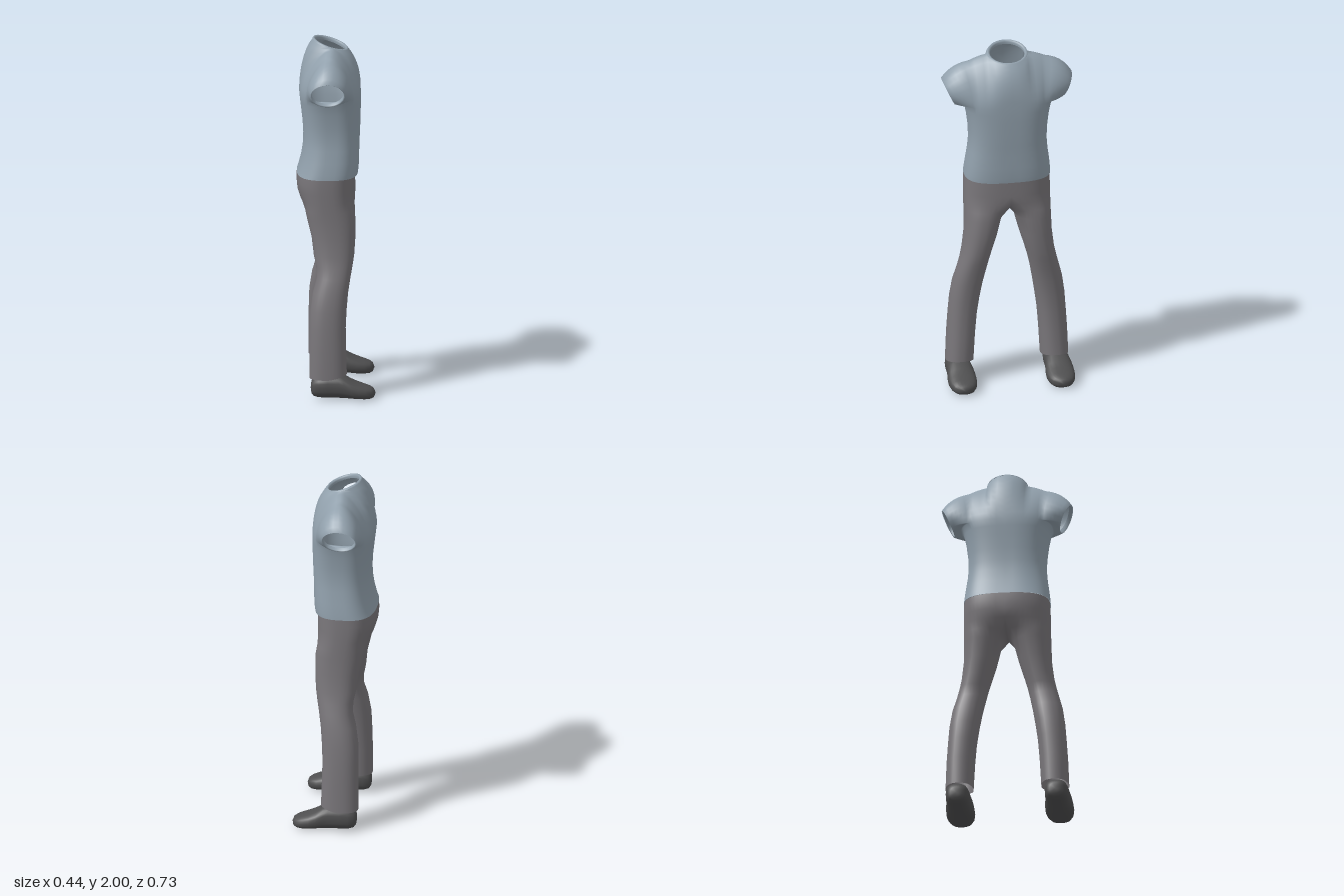
import * as THREE from 'three';
import { mergeVertices } from 'three/addons/utils/BufferGeometryUtils.js';

const V = (x, y, z) => new THREE.Vector3(x, y, z);
const rad = THREE.MathUtils.degToRad, lerp = THREE.MathUtils.lerp;
const range = (n, f) => Array.from({ length: n + 1 }, (_, i) => f(i / n, i));
const sp = (v, p) => Math.sign(v) * Math.pow(Math.abs(v), 2 / p);

// Triangles between successive rows of points
function grid(out, rows) {
  for (let i = 0; i < rows.length - 1; i++)
    for (let j = 0; j < rows[i].length - 1; j++) {
      const a = rows[i][j], b = rows[i + 1][j], c = rows[i + 1][j + 1], d = rows[i][j + 1];
      for (const t of [[a, b, d], [b, c, d]])
        if (t[0].distanceTo(t[1]) > 1e-5 && t[1].distanceTo(t[2]) > 1e-5 && t[2].distanceTo(t[0]) > 1e-5) out.push(...t);
    }
}

// Smooth mesh from the left half plus its mirror image
function mirrored(name, half, material) {
  const pts = [...half];
  for (let i = 0; i < half.length; i += 3)
    for (const k of [0, 2, 1]) pts.push(V(half[i + k].x, half[i + k].y, -half[i + k].z));
  let g = new THREE.BufferGeometry().setFromPoints(pts);
  g = mergeVertices(g, 1e-4);
  g.computeVertexNormals();
  const mesh = new THREE.Mesh(g, material);
  mesh.name = name;
  return mesh;
}

// Half a body section, from front centre round the left side to back centre
const halfRing = ([y, back, front, hz], n, p) => range(n, (t, i) => {
  const a = t * Math.PI;
  return V((back + front) / 2 + (front - back) / 2 * sp(Math.cos(a), p), y,
    i === 0 || i === n ? 0 : hz * sp(Math.sin(a), p));
});

const neck = (a, s = 1, dy = 0) =>
  V(-0.03 + 0.1 * s * Math.cos(a), 1.967 - 0.03 * Math.cos(a) + dy, 0.115 * s * Math.sin(a));

function shirtHalf() {
  const out = [], N = 32, F = 8, C = 4, K = 8;
  // torso, hem to armpit
  const torso = [
    [1.24, -0.217, 0.122, 0.24], [1.27, -0.207, 0.126, 0.238], [1.33, -0.192, 0.129, 0.231],
    [1.4, -0.182, 0.13, 0.221], [1.46, -0.181, 0.133, 0.216], [1.53, -0.185, 0.136, 0.218],
    [1.61, -0.194, 0.138, 0.228], [1.66, -0.2, 0.139, 0.238], [1.7, -0.204, 0.138, 0.25],
  ].map(r => halfRing(r, N, 2.8));
  grid(out, torso);
  const ring = torso[torso.length - 1];

  // chest and upper back, ending at the neckline and the shoulder seam
  const column = (i, side) => {
    const base = side > 0 ? ring[i] : ring[N - i];
    const a = Math.min(i / C, 1) * Math.PI / 2;
    let top = neck(side > 0 ? a : Math.PI - a);
    if (i > C) {
      const d = 0.1 * (i - C) / (F - C);
      top = V(-0.03 - d * 0.08, 1.967 - 0.25 * d - 1.3 * d * d, 0.115 + d);
    }
    const rise = i > C ? 0 : Math.cos(a);
    const c1 = base.clone().add(V(0, 0.1, 0));
    const c2 = top.clone().add(V(side * 0.055, -0.07 * rise, 0));
    return new THREE.CubicBezierCurve3(base, c1, c2, top).getPoints(K);
  };
  const front = range(F, (t, i) => column(i, 1)), back = range(F, (t, i) => column(F - i, -1));
  for (const panel of [front, back])
    grid(out, range(K, (t, k) => panel.map(col => col[k])));

  // sleeve, from the armhole to the turned-in hem
  const start = [...front[F], ...[...back[0]].reverse().slice(1),
    ...ring.slice(F, N - F).reverse()];
  const angles = [...range(K, t => -40 + 130 * t), ...range(K, t => 90 + 130 * t).slice(1),
    ...range(N - 2 * F, t => 220 + 100 * t).slice(1)].map(rad);
  const hem = (s, dy, dz) => angles.map(a => {
    const v = s * Math.sin(a);
    return V(-0.05 + 0.097 * s * Math.cos(a), 1.75 + 0.072 * v + dy, 0.33 + 0.035 * v + dz);
  });
  const end = hem(1, 0, 0);
  const rows = range(6, t => start.map((p, j) => {
    const q = p.clone().lerp(end[j], t), b = 0.05 * t * (1 - t), s = Math.sin(angles[j]);
    return q.add(V(b * Math.cos(angles[j]), s > 0 ? b * s * 1.3 : 0, s > 0 ? b * s : 0));
  }));
  rows.push(hem(0.94, 0.002, -0.004), hem(0.93, 0.012, -0.02));
  grid(out, rows.reverse());
  return out;
}

function collarHalf() {
  const out = [];
  grid(out, [[1, 0], [0.95, 0.007], [0.87, 0.004], [0.84, -0.004], [0.85, -0.016]]
    .map(([s, dy]) => range(16, (t) => neck(t * Math.PI, s, dy))));
  return out;
}

function trouserHalf() {
  const out = [], N = 24, M = 10;
  // hips
  const hips = [[1.24, -0.217, 0.106, 0.238], [1.2, -0.219, 0.107, 0.24], [1.15, -0.214, 0.108, 0.241],
    [1.1, -0.198, 0.107, 0.241]].map(r => halfRing(r, N, 2.6));
  grid(out, [...hips].reverse());
  const low = hips[hips.length - 1];
  // crotch saddle closes the top section of the leg
  const saddle = range(M, t => V(lerp(-0.198, 0.107, t),
    1.045 + 0.055 * Math.pow(Math.abs(2 * t - 1), 3), 0));
  const start = [...low, ...saddle.slice(1)];
  // leg sections: y, back, front, inner, outer
  const legs = [
    [1.0, -0.162, 0.107, 0.036, 0.242], [0.9, -0.137, 0.107, 0.062, 0.245],
    [0.8, -0.125, 0.1, 0.093, 0.257], [0.74, -0.112, 0.09, 0.11, 0.27],
    [0.68, -0.108, 0.079, 0.124, 0.286], [0.6, -0.13, 0.066, 0.14, 0.307],
    [0.5, -0.145, 0.057, 0.157, 0.322], [0.4, -0.148, 0.052, 0.171, 0.33],
    [0.28, -0.15, 0.054, 0.181, 0.338], [0.12, -0.15, 0.058, 0.19, 0.344],
  ];
  const angles = [...range(N, t => -50 + 280 * t), ...range(M, t => 230 + 80 * t).slice(1)].map(rad);
  const rings = legs.map(([y, b, f, zi, zo]) => angles.map(a => V(
    (b + f) / 2 + (f - b) / 2 * sp(Math.cos(a), 2.3),
    y + (y < 0.2 ? 0.022 * Math.max(0, Math.cos(a)) : 0),
    (zi + zo) / 2 + (zo - zi) / 2 * sp(Math.sin(a), 2.3))));
  const middle = start.map((p, j) => p.clone().lerp(rings[0][j], 0.5));
  grid(out, [start, middle, ...rings].reverse());
  return out;
}

function shoeHalf() {
  const out = [];
  // sections: x, half width, bottom, top
  const sections = [
    [-0.143, 0, 0.065, 0.065], [-0.139, 0.034, 0.035, 0.1], [-0.128, 0.05, 0.02, 0.12],
    [-0.1, 0.063, 0.012, 0.137], [-0.05, 0.067, 0.01, 0.145], [0.01, 0.07, 0.009, 0.146],
    [0.04, 0.074, 0.008, 0.138], [0.08, 0.079, 0.006, 0.113], [0.12, 0.08, 0.003, 0.094],
    [0.16, 0.073, 0.002, 0.08], [0.19, 0.058, 0.004, 0.069], [0.208, 0.036, 0.012, 0.058],
    [0.217, 0, 0.034, 0.034],
  ];
  grid(out, sections.map(([x, w, b, t]) => range(24, u => {
    const a = u * Math.PI * 2;
    return V(x, (b + t) / 2 + (t - b) / 2 * sp(Math.sin(a), 2.5), 0.276 + w * sp(Math.cos(a), 2.3));
  })));
  return out;
}

export function createModel() {
  const mat = (name, color) => {
    const m = new THREE.MeshStandardMaterial({ color, side: THREE.DoubleSide });
    m.name = name;
    return m;
  };
  const blue = mat('greyBlueCloth', 0x92a1ad), grey = mat('greyCloth', 0x79767a), dark = mat('darkLeather', 0x4f4f50);
  const model = new THREE.Group();
  model.name = 'outfit';
  model.add(
    mirrored('shirt', shirtHalf(), blue),
    mirrored('collar', collarHalf(), blue),
    mirrored('trousers', trouserHalf(), grey),
    mirrored('shoes', shoeHalf(), dark),
  );
  return model;
}
